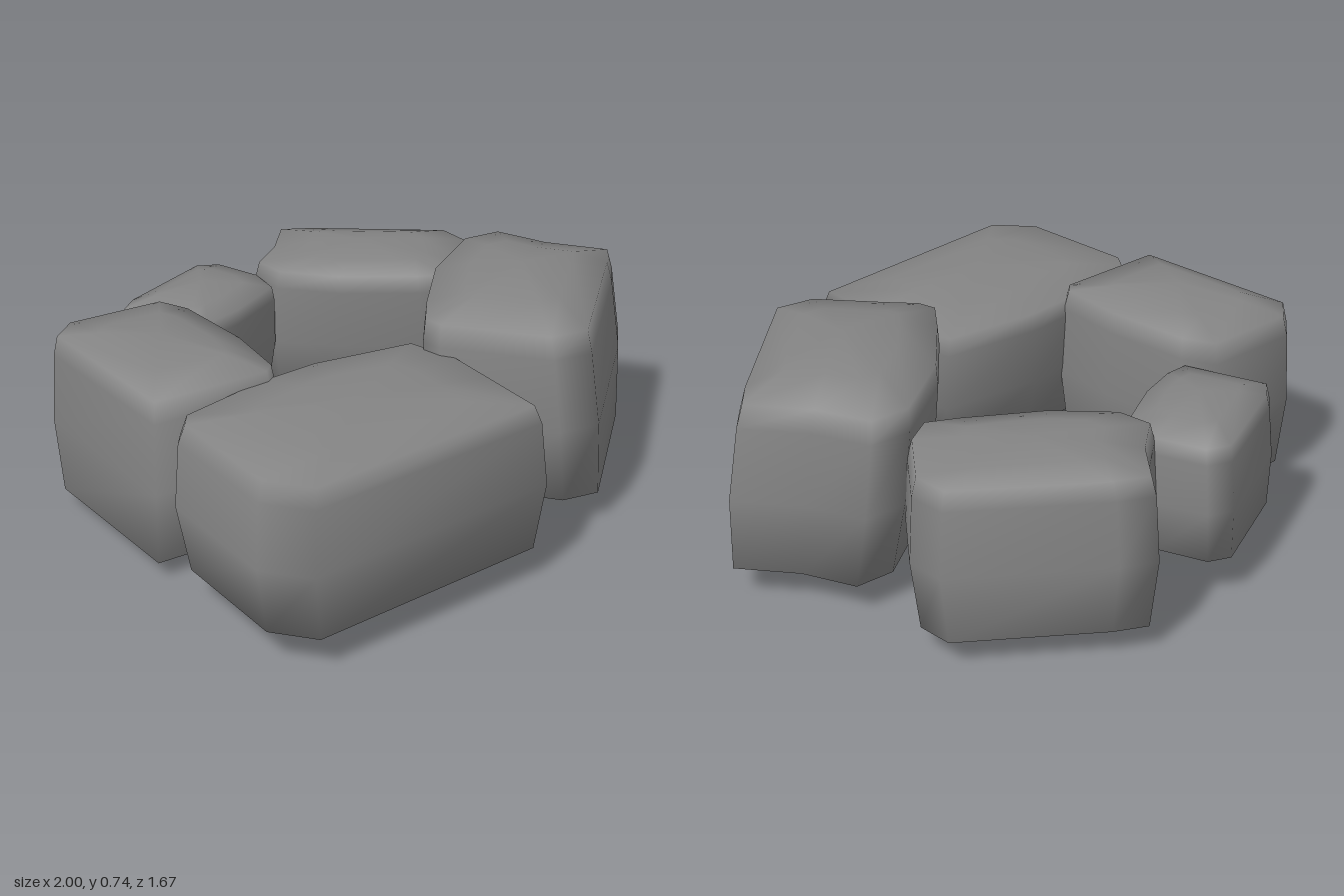
import * as THREE from 'three';

// Each stone: plan outline [x, z] (clockwise from above), height range,
// rim drop at the top, rim rise at the bottom, lean of the top.
const STONES = [
  { name: 'frontLeftStone', low: 0.07, high: 0.61, drop: 0.05, rise: 0.045, lean: [0.04, -0.04],
    plan: [[-0.85, 0.01], [-0.79, -0.03], [-0.45, 0.01], [-0.24, 0.07], [0.08, 0.24], [0.07, 0.42],
      [0, 0.6], [-0.09, 0.83], [-0.94, 0.59], [-1, 0.43]] },
  { name: 'frontRightStone', low: 0.035, high: 0.74, drop: 0.085, rise: 0.075, lean: [-0.02, -0.06],
    plan: [[0.03, 0.38], [0.04, 0.31], [0.17, 0.23], [0.44, 0.09], [0.75, 0.02], [0.88, 0.08], [0.89, 0.28],
      [0.96, 0.5], [0.85, 0.56], [0.28, 0.8], [0.16, 0.73], [0.07, 0.48]] },
  { name: 'backRightStone', low: 0.06, high: 0.61, drop: 0.05, rise: 0.03, lean: [-0.03, 0.02],
    plan: [[0.29, -0.49], [0.32, -0.61], [0.48, -0.66], [0.64, -0.75], [0.72, -0.66],
      [1, -0.23], [0.96, -0.11], [0.75, 0.02], [0.63, 0.04], [0.55, -0.05], [0.38, -0.28]] },
  { name: 'backLeftStone', low: 0, high: 0.655, drop: 0.06, rise: 0.065, lean: [0.01, 0],
    plan: [[-0.82, -0.09], [-0.62, -0.69], [-0.51, -0.73], [-0.19, -0.6],
      [-0.18, -0.48], [-0.27, -0.18], [-0.38, 0.04], [-0.43, 0.06]] },
  { name: 'backStone', low: 0.1, high: 0.57, drop: 0.06, rise: 0.04, lean: [0, 0.02],
    plan: [[-0.19, -0.79], [-0.11, -0.82], [0.28, -0.84], [0.34, -0.78], [0.34, -0.6],
      [0.28, -0.48], [0.04, -0.45], [-0.12, -0.46], [-0.2, -0.49]] },
];

// Stacked rings [height fraction, outline scale], domed at both ends
const BELLY = 0.45;
const RINGS = [[0, 0.55], [0, 0.93], [BELLY, 1], [0.88, 0.97], [1, 0.93], [1, 0.55]];

function stoneGeometry({ plan, low, high, drop, rise, lean }) {
  const n = plan.length;
  const xs = plan.map((p) => p[0]), zs = plan.map((p) => p[1]);
  const cx = (Math.min(...xs) + Math.max(...xs)) / 2;
  const cz = (Math.min(...zs) + Math.max(...zs)) / 2;
  const points = [], faces = [];
  const addPoint = (x, z, t, s) => points.push(
    cx + (x - cx) * s + lean[0] * (t - BELLY),
    THREE.MathUtils.lerp(low + rise * s ** 1.5, high - drop * s ** 1.5, t),
    cz + (z - cz) * s + lean[1] * (t - BELLY),
  );

  // Skin between neighbouring rings
  RINGS.forEach(([t, s], r) => {
    plan.forEach(([x, z], i) => {
      addPoint(x, z, t, s);
      if (r === 0) return;
      const j = (i + 1) % n;
      const a0 = (r - 1) * n + i, a1 = (r - 1) * n + j, b0 = r * n + i, b1 = r * n + j;
      faces.push(a1, a0, b0, a1, b0, b1);
    });
  });

  // Close both ends
  const bottom = RINGS.length * n, top = bottom + 1, last = bottom - n;
  addPoint(cx, cz, 0, 0);
  addPoint(cx, cz, 1, 0);
  for (let i = 0; i < n; i++) {
    const j = (i + 1) % n;
    faces.push(bottom, i, j, top, last + j, last + i);
  }

  const geometry = new THREE.BufferGeometry();
  geometry.setAttribute('position', new THREE.Float32BufferAttribute(points, 3));
  geometry.setIndex(faces);
  geometry.computeVertexNormals();
  return geometry;
}

export function createModel() {
  const group = new THREE.Group();
  group.name = 'stoneRing';
  const material = new THREE.MeshStandardMaterial({ color: 0x848484 });
  for (const stone of STONES) {
    const mesh = new THREE.Mesh(stoneGeometry(stone), material);
    mesh.name = stone.name;
    group.add(mesh);
  }
  return group;
}
